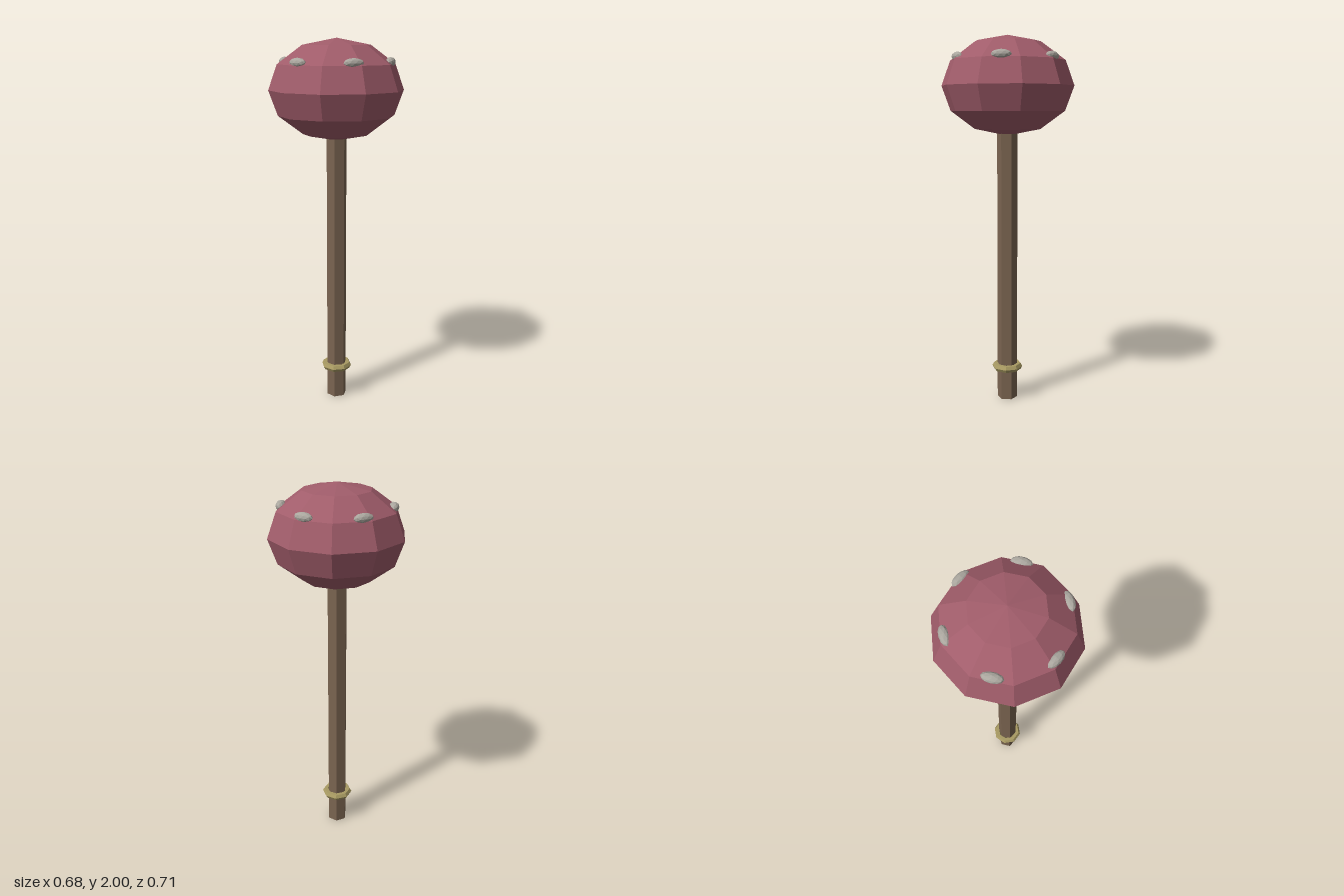
import * as THREE from 'three';

const HEAD_Y = 1.737;   // centre of the head
const HEAD_R = 0.355;
const STUD_COUNT = 6;

function part(name, geometry, color) {
  const material = new THREE.MeshStandardMaterial({ color, flatShading: true });
  const mesh = new THREE.Mesh(geometry, material);
  mesh.name = name;
  return mesh;
}

export function createModel() {
  const model = new THREE.Group();
  model.name = 'mace';

  // Hexagonal shaft, running up into the head
  const shaft = part('shaft', new THREE.CylinderGeometry(0.055, 0.055, 1.6, 6), 0x7a6450);
  shaft.position.y = 0.8;
  model.add(shaft);

  // Brass ring around the grip
  const ring = part('gripRing', new THREE.TorusGeometry(0.065, 0.02, 6, 8), 0xa89a62);
  ring.rotation.x = Math.PI / 2;
  ring.position.y = 0.182;
  model.add(ring);

  // Flattened ten-sided head with corners on the z axis
  const head = part('head', new THREE.SphereGeometry(HEAD_R, 10, 6), 0xa05c6a);
  head.scale.y = 0.74;
  head.rotation.y = Math.PI / 2;
  head.position.y = HEAD_Y;
  model.add(head);

  // Oval studs around the upper head, long axis along the circle
  const studs = new THREE.Group();
  studs.name = 'studs';
  for (let i = 0; i < STUD_COUNT; i++) {
    const a = (i / STUD_COUNT) * Math.PI * 2;
    const stud = part('stud', new THREE.IcosahedronGeometry(0.052, 1), 0xaaa69e);
    stud.scale.set(0.5, 0.48, 1);
    stud.rotation.y = -a;
    stud.position.set(0.28 * Math.cos(a), 1.88, 0.28 * Math.sin(a));
    studs.add(stud);
  }
  model.add(studs);

  return model;
}
